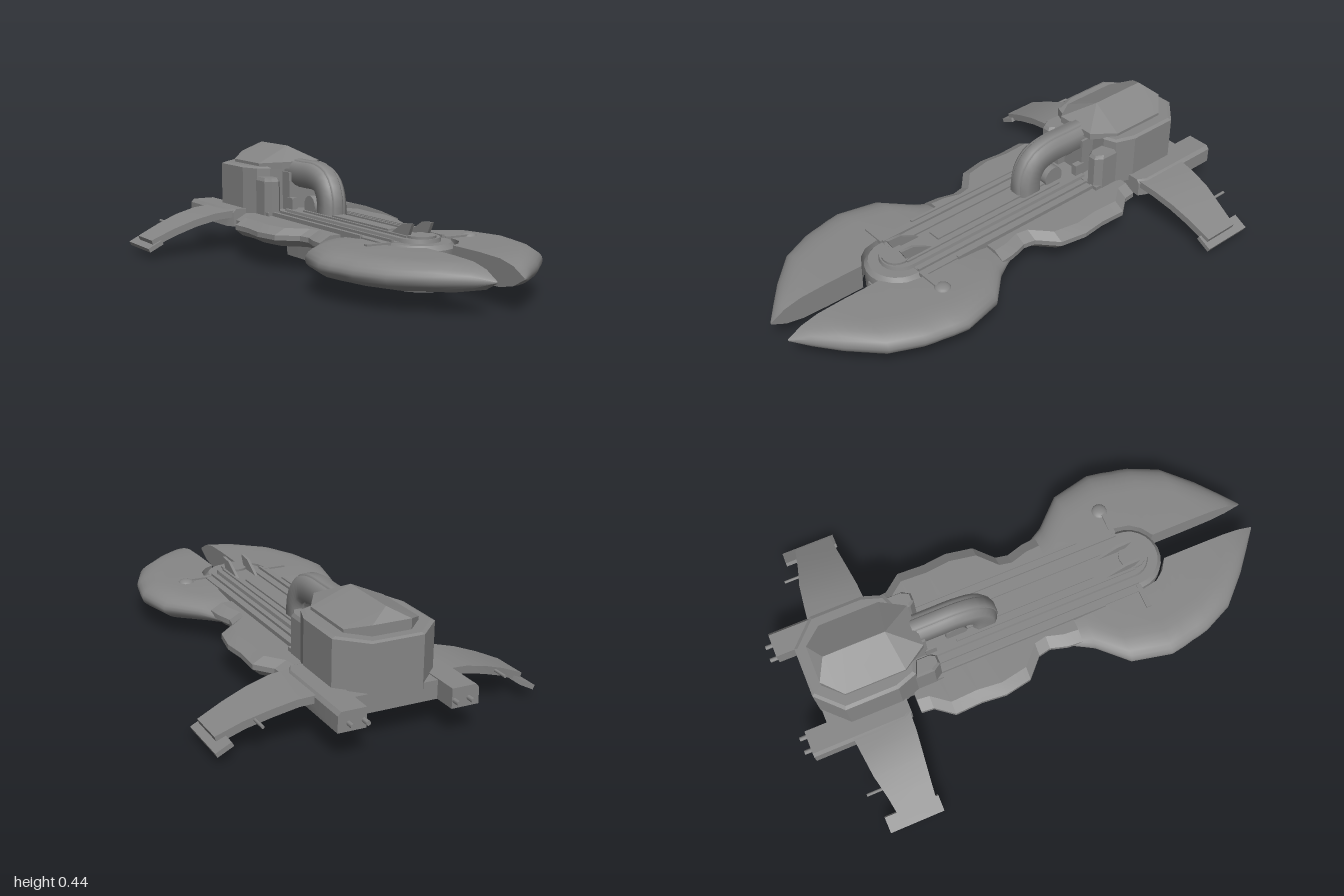
import * as THREE from 'three';
import { toCreasedNormals } from 'three/addons/utils/BufferGeometryUtils.js';

const darkGrey = new THREE.MeshStandardMaterial({ color: 0x878787, side: THREE.DoubleSide });

function mesh(name, geometry, parent) {
  const m = new THREE.Mesh(geometry, darkGrey);
  m.name = name;
  parent.add(m);
  return m;
}

// Skin through equal-length convex rings of [x, y, z], capped at both ends, wound outwards
function loft(rings, crease = 0.5) {
  const n = rings[0].length, pos = rings.flat(2), index = [];
  for (let r = 0; r < rings.length - 1; r++) {
    for (let i = 0; i < n; i++) {
      const a = r * n + i, b = r * n + (i + 1) % n;
      index.push(a, b, b + n, a, b + n, a + n);
    }
  }
  [0, rings.length - 1].forEach((r) => {
    for (let i = 1; i < n - 1; i++) {
      const [a, b, c] = [r * n, r * n + i, r * n + i + 1];
      index.push(...(r === 0 ? [a, c, b] : [a, b, c]));
    }
  });
  const point = (i) => new THREE.Vector3().fromArray(pos, i * 3);
  let volume = 0;
  for (let i = 0; i < index.length; i += 3) {
    volume += point(index[i]).dot(point(index[i + 1]).cross(point(index[i + 2])));
  }
  if (volume < 0) index.reverse();
  const g = new THREE.BufferGeometry();
  g.setAttribute('position', new THREE.Float32BufferAttribute(pos, 3));
  g.setIndex(index);
  return toCreasedNormals(g, crease);
}

// Full plan outline from its x > 0 half
const mirrored = (half) => [...half, ...half.map(([x, ...rest]) => [-x, ...rest]).reverse()];

// Plan outline of a bar with a round front end
function roundFront(w, zBack, zMid, segments = 12) {
  const pts = [[-w, zBack], [w, zBack]];
  for (let i = 0; i <= segments; i++) {
    const t = Math.PI * i / segments;
    pts.push([w * Math.cos(t), zMid + w * Math.sin(t)]);
  }
  return pts;
}
const at = (outline, y) => outline.map(([x, z]) => [x, y, z]);

// Sweep of an octagonal section (half width w, half height h, chamfer c) along a path in the x = 0 plane
function sweep(path, w, h, c) {
  const section = [[w, h - c], [w - c, h], [c - w, h], [-w, h - c], [-w, c - h], [c - w, -h], [w - c, -h], [w, c - h]];
  return loft(path.getSpacedPoints(20).map((p, i) => {
    const t = path.getTangentAt(i / 20);
    return section.map(([x, v]) => [x, p.y - t.z * v, p.z + t.y * v]);
  }), 0.9);
}

function box(name, [x0, x1], [y0, y1], [z0, z1], parent) {
  const g = new THREE.BoxGeometry(Math.abs(x1 - x0), y1 - y0, z1 - z0);
  g.translate((x0 + x1) / 2, (y0 + y1) / 2, (z0 + z1) / 2);
  return mesh(name, g, parent);
}

function rod(name, r, len, axis, [x, y, z], parent, sides = 12) {
  const g = new THREE.CylinderGeometry(r, r, len, sides);
  if (axis === 'x') g.rotateZ(Math.PI / 2);
  if (axis === 'z') g.rotateX(Math.PI / 2);
  return mesh(name, g.translate(x, y, z), parent);
}

export function createModel() {
  const ship = new THREE.Group();
  ship.name = 'ship';

  // Waisted hull deck, lofted along z: [z, half width]
  const deck = [[-0.53, 0.255], [-0.48, 0.26], [-0.41, 0.315], [-0.3, 0.31], [-0.2, 0.32],
    [-0.09, 0.3], [-0.02, 0.225], [0.03, 0.215], [0.1, 0.235], [0.16, 0.24]];
  mesh('hullDeck', loft(deck.map(([z, w]) => [[-w + 0.03, 0.1, z], [w - 0.03, 0.1, z], [w, 0.125, z],
    [w, 0.145, z], [w - 0.045, 0.17, z], [0.045 - w, 0.17, z], [-w, 0.145, z], [-w, 0.125, z]]), 0.2), ship);

  // Keel with a round front and a lower skid plate
  mesh('keel', loft([at(roundFront(0.113, -0.34, 0.485), 0.014), at(roundFront(0.12, -0.34, 0.48), 0.1)]), ship);
  mesh('keelPlate', loft([at(roundFront(0.065, -0.3, 0.48), 0.003), at(roundFront(0.075, -0.31, 0.48), 0.016)]), ship);
  box('rearKeel', [-0.1, 0.1], [0.085, 0.12], [-0.46, -0.3], ship);

  // Raised spine layers and round nose
  mesh('nose', loft([at(roundFront(0.12, 0.1, 0.47), 0.08), at(roundFront(0.13, 0.1, 0.47), 0.1),
    at(roundFront(0.13, 0.1, 0.47), 0.16), at(roundFront(0.115, 0.1, 0.47), 0.178)]), ship);
  box('spineBase', [-0.145, 0.145], [0.15, 0.18], [-0.42, 0.46], ship);
  mesh('spine', loft([at(roundFront(0.085, -0.42, 0.46), 0.17), at(roundFront(0.08, -0.42, 0.46), 0.193)]), ship);
  box('spineRidge', [-0.027, 0.027], [0.18, 0.2], [-0.3, 0.3], ship);
  rod('noseCap', 0.055, 0.02, 'y', [0, 0.192, 0.48], ship, 16);
  box('noseSlot', [-0.012, 0.012], [0.1, 0.128], [0.58, 0.605], ship);

  // Tower with chamfered corners
  const tower = mirrored([[0.12, -0.48], [0.17, -0.5], [0.198, -0.58], [0.198, -0.79], [0.1, -0.885]]);
  const lip = tower.map(([x, z]) => [x * 0.93, -0.68 + (z + 0.68) * 0.95]);
  mesh('tower', loft([at(tower, 0.16), at(tower, 0.36), at(lip, 0.366)], 0.2), ship);

  // Hipped roof rising to a ridge: [x, z, eave height]
  const roof = mirrored([[0.085, -0.435, 0.388], [0.145, -0.53, 0.378], [0.145, -0.77, 0.378], [0.075, -0.84, 0.405]]);
  mesh('roof', loft([at(roof, 0.36), roof.map(([x, z, y]) => [x, y, z]),
    roof.map(([, z]) => [0, 0.446, z > -0.6 ? -0.55 : -0.795])], 0.1), ship);

  // Bent duct from the tower to the spine, with a raised band
  const path = new THREE.CatmullRomCurve3([[0.34, -0.5], [0.34, -0.38], [0.338, -0.27], [0.315, -0.205],
    [0.26, -0.172], [0.18, -0.168]].map(([y, z]) => new THREE.Vector3(0, y, z)));
  mesh('duct', sweep(path, 0.05, 0.05, 0.018), ship);
  mesh('ductBand', sweep(path, 0.024, 0.057, 0.006), ship);
  rod('ductDrum', 0.045, 0.07, 'x', [0, 0.215, -0.29], ship, 16);
  box('towerFront', [-0.06, 0.06], [0.17, 0.345], [-0.5, -0.42], ship);

  // Rear base below the tower
  box('rearNeck', [-0.17, 0.17], [0.105, 0.185], [-0.62, -0.4], ship);
  box('rearBase', [-0.2, 0.2], [0.112, 0.182], [-0.88, -0.57], ship);

  // Claw stations: [z, inner x, outer x, half height]
  const claw = [[0.04, 0.1, 0.2, 0.015], [0.13, 0.1, 0.24, 0.032], [0.2, 0.1, 0.28, 0.044], [0.31, 0.1, 0.385, 0.052],
    [0.47, 0.142, 0.42, 0.053], [0.53, 0.13, 0.41, 0.053], [0.57, 0.1, 0.4, 0.053], [0.6, 0.055, 0.395, 0.053],
    [0.64, 0.055, 0.385, 0.053], [0.76, 0.055, 0.33, 0.053], [0.87, 0.055, 0.22, 0.049], [0.94, 0.055, 0.135, 0.034],
    [1, 0.055, 0.06, 0.003]];
  // Wing stations: [x, top y, front z, back z]
  const wing = [[0.24, 0.18, -0.57, -0.81], [0.33, 0.172, -0.575, -0.8], [0.42, 0.15, -0.585, -0.79],
    [0.51, 0.118, -0.595, -0.77], [0.605, 0.076, -0.605, -0.755]];
  const podPlan = [[0.105, -0.51], [0.105, -0.42], [0.12, -0.4], [0.152, -0.4], [0.172, -0.43], [0.172, -0.51]];

  for (const s of [1, -1]) {
    const side = new THREE.Group();
    side.name = s > 0 ? 'leftSide' : 'rightSide';
    ship.add(side);

    mesh('claw', loft(claw.map(([z, xi, xo, h]) => {
      const r = Math.min(xo - xi, 0.13), ring = [[s * xi, 0.122 - h, z]];
      for (let i = 0; i <= 12; i++) {
        const t = Math.PI * (i / 12 - 0.5);
        ring.push([s * (xo - r + r * Math.max(0, Math.cos(t)) ** 0.85), 0.122 + h * Math.sin(t), z]);
      }
      return [...ring, [s * xi, 0.122 + h, z]];
    }), 0.8), side);

    mesh('wing', loft(wing.map(([x, y, zf, zb]) => [[s * x, y, zf], [s * x, y, zb],
      [s * (x - 0.01), y - 0.028, zb], [s * (x - 0.01), y - 0.028, zf]]), 0.5), side);
    const tip = box('wingTip', [-0.033, 0.033], [-0.009, 0.009], [-0.11, 0.11], side);
    tip.position.set(s * 0.592, 0.052, -0.7);
    tip.rotation.z = -s * 0.47;
    rod('wingAntenna', 0.006, 0.09, 'z', [s * 0.47, 0.12, -0.795], side, 8);

    // Engine block with two thin nozzles
    mesh('engine', loft([[-0.97, 0.162, 0.268], [-0.6, 0.162, 0.268], [-0.565, 0.17, 0.25]].map(([z, a, b]) =>
      [[s * a, 0.112, z], [s * b, 0.112, z], [s * b, 0.172, z], [s * (b - 0.012), 0.186, z], [s * a, 0.186, z]])), side);
    for (const x of [0.172, 0.228]) rod('nozzle', 0.009, 0.05, 'z', [s * x, 0.142, -0.975], side, 8);

    // Chamfered pod at the front corner of the tower
    const pod = podPlan.map(([x, z]) => [s * x, z]);
    const podTop = podPlan.map(([x, z]) => [s * (0.138 + (x - 0.138) * 0.8), z - 0.008]);
    mesh('towerPod', loft([at(pod, 0.16), at(pod, 0.312), at(podTop, 0.326)], 0.3), side);
    box('podStep', [s * 0.04, s * 0.065], [0.17, 0.24], [-0.43, -0.385], side);

    // Deck rails, nose fins, arms and underside studs
    box('outerRail', [s * 0.105, s * 0.115], [0.17, 0.19], [-0.4, 0.46], side);
    box('innerRail', [s * 0.05, s * 0.06], [0.18, 0.2], [-0.3, 0.47], side);
    box('edgeRail', [s * 0.138, s * 0.15], [0.16, 0.186], [-0.42, 0.3], side);
    const fin = [[0.19, 0.34], [0.19, 0.46], [0.245, 0.49], [0.24, 0.43]];
    mesh('noseFin', loft([0.036, 0.048].map((x) => fin.map(([y, z]) => [s * x, y, z]))), side);
    box('noseArm', [s * 0.12, s * 0.22], [0.165, 0.182], [0.445, 0.465], side);
    for (const z of [0.065, -0.01]) {
      mesh('stud', new THREE.SphereGeometry(0.016, 10, 8).translate(s * 0.15, 0.09, z), side);
    }
  }

  // Single dome at the end of the left arm
  mesh('armDome', new THREE.SphereGeometry(0.033, 16, 10).scale(1, 0.5, 1).translate(0.235, 0.17, 0.445), ship);
  return ship;
}
